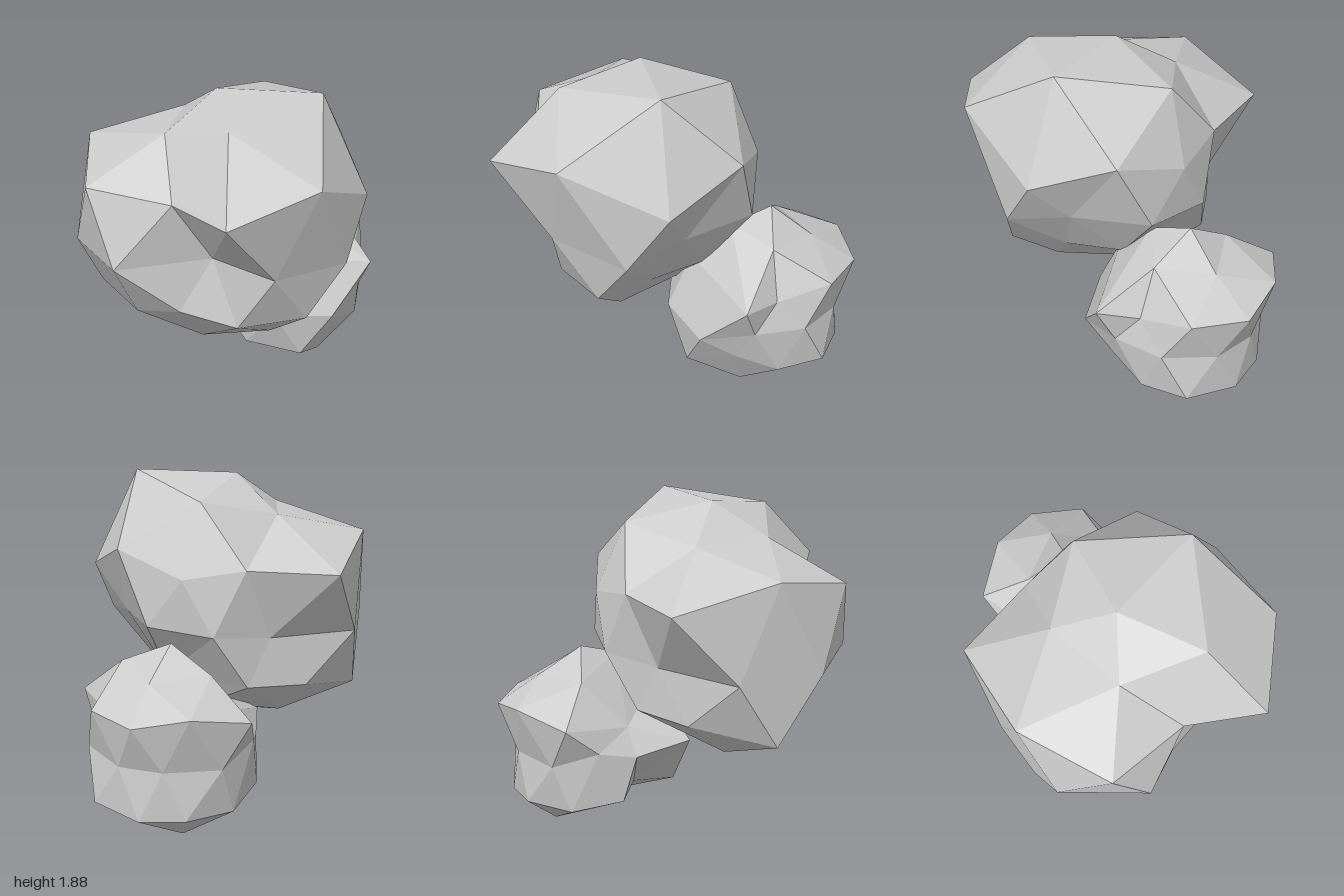
import * as THREE from 'three';
import { ConvexGeometry } from 'three/addons/geometries/ConvexGeometry.js';

const material = new THREE.MeshStandardMaterial({ color: 0xcccccc, flatShading: true });

// Faceted boulder: corners are connected as a hull on a unit sphere around the
// centre, then pulled to their true distance, so dents and spikes survive.
function boulder(name, centre, corners) {
  const c = new THREE.Vector3(...centre);
  const points = corners.map((p) => new THREE.Vector3(...p));
  const dirs = points.map((p) => p.clone().sub(c).normalize());
  const geometry = new ConvexGeometry(dirs);
  const pos = geometry.attributes.position;
  const v = new THREE.Vector3();
  for (let i = 0; i < pos.count; i++) {
    v.fromBufferAttribute(pos, i);
    let best = 0;
    dirs.forEach((d, k) => { if (d.dot(v) > dirs[best].dot(v)) best = k; });
    pos.setXYZ(i, points[best].x, points[best].y, points[best].z);
  }
  geometry.computeVertexNormals();
  const mesh = new THREE.Mesh(geometry, material);
  mesh.name = name;
  return mesh;
}

export function createModel() {
  const group = new THREE.Group();
  group.name = 'boulders';

  group.add(boulder('largeBoulder', [0, 1.12, 0.2], [
    // crown
    [0.52, 1.875, 0.14], [-0.05, 1.86, 0.155], [0.13, 1.8, 0.61], [-0.27, 1.67, 0.39],
    [0.11, 1.755, -0.31], [-0.295, 1.66, -0.08],
    // shoulders
    [-0.78, 1.54, 0.155], [-0.615, 1.45, 0.68], [-0.135, 1.425, 0.73], [0.215, 1.45, 1],
    [0.62, 1.565, 0.68], [0.78, 1.325, 0.14], [0.57, 1.49, -0.28], [0.2, 1.36, -0.455],
    [-0.145, 1.41, -0.43], [-0.64, 1.39, -0.405],
    // waist
    [-0.785, 1.01, 0.43], [-0.44, 1.05, 0.805], [0.04, 1.08, 0.6], [0.4, 1.05, 0.71],
    [0.715, 1.01, 0.355], [0.58, 1.08, 0.02], [0.4, 1.08, -0.385], [0.03, 1.05, -0.48],
    [-0.27, 1.01, -0.3], [-0.74, 1, -0.06],
    // lower ring
    [-0.745, 0.62, 0.18], [-0.4, 0.68, 0.57], [-0.12, 0.78, 0.69], [0.19, 0.705, 0.66],
    [0.53, 0.72, 0.49], [0.43, 0.74, 0.18], [0.32, 0.755, -0.14], [-0.15, 0.74, -0.37],
    [-0.47, 0.72, -0.22],
    // underside
    [0.3, 0.515, 0.34], [-0.055, 0.51, 0.465], [-0.31, 0.46, 0.1], [0.045, 0.45, 0.17],
    [0.1, 0.57, -0.14],
  ]));

  group.add(boulder('smallBoulder', [0.25, 0.48, -0.48], [
    // crown
    [0.25, 1.035, -0.535], [0.34, 0.875, -0.755], [0.525, 0.92, -0.48], [0.025, 0.89, -0.63],
    [0.28, 0.96, -0.3], [0.25, 0.75, -0.08],
    // shoulders
    [0.64, 0.735, -0.79], [0.4, 0.715, -1], [0.1, 0.765, -0.99], [-0.2, 0.7, -0.82],
    [-0.1, 0.63, -0.41], [0.78, 0.69, -0.28], [0.655, 0.66, -0.48],
    // waist
    [0.69, 0.485, -0.64], [0.705, 0.49, -0.35], [0.595, 0.41, -0.065], [0.27, 0.44, 0.06],
    [-0.19, 0.52, -0.06], [-0.2, 0.48, -0.4], [-0.2, 0.54, -0.63], [-0.05, 0.45, -0.85],
    [0.25, 0.46, -0.94], [0.49, 0.46, -0.87],
    // lower ring
    [0.62, 0.285, -0.27], [0.675, 0.2, -0.505], [0.64, 0.215, -0.775], [0.38, 0.18, -0.935],
    [0.135, 0.19, -0.935], [-0.1, 0.18, -0.76], [-0.21, 0.235, -0.49], [0, 0.25, -0.33],
    [0.08, 0.18, -0.03], [0.415, 0.145, -0.025],
    // underside
    [0.47, 0, -0.335], [0.17, 0.04, -0.755], [0.46, 0.07, -0.65],
  ]));

  return group;
}
